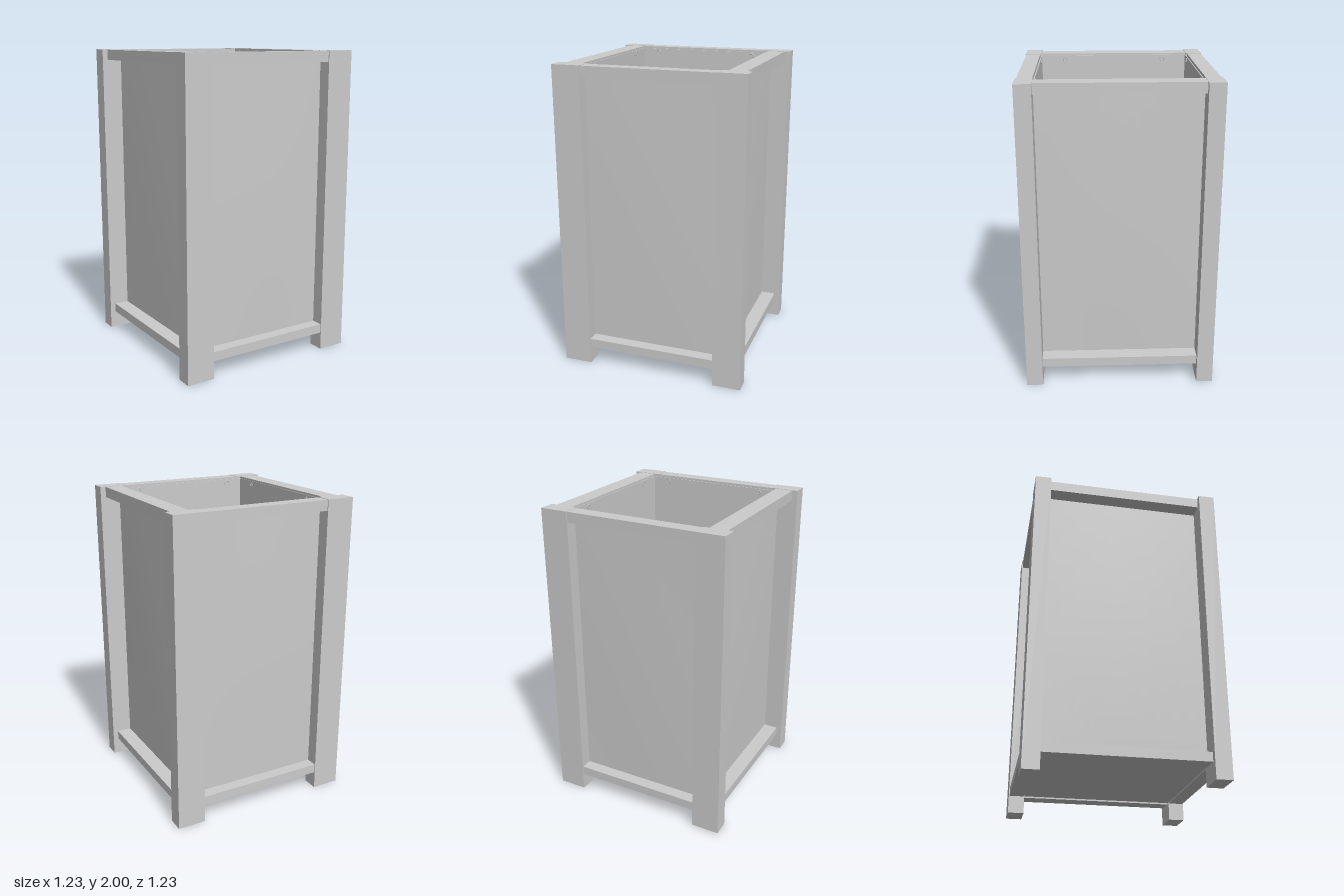
import * as THREE from 'three';

const material = new THREE.MeshStandardMaterial({ color: 0xcccccc });
const cloth = new THREE.MeshStandardMaterial({ color: 0xcccccc, side: THREE.DoubleSide });

// Box given by its min/max corners
function block(name, x0, x1, y0, y1, z0, z1) {
  const mesh = new THREE.Mesh(new THREE.BoxGeometry(x1 - x0, y1 - y0, z1 - z0), material);
  mesh.position.set((x0 + x1) / 2, (y0 + y1) / 2, (z0 + z1) / 2);
  mesh.name = name;
  return mesh;
}

// One side: thin inner lining and a softly bulging outer panel
function wall(name, width, inner, outer, angle) {
  const group = new THREE.Group();
  group.name = name;
  const y0 = 0.125, y1 = 1.985, panelTop = 1.95;
  const geo = new THREE.PlaneGeometry(width, panelTop - y0, 10, 14);
  const p = geo.attributes.position;
  for (let i = 0; i < p.count; i++) {
    const u = p.getX(i) / width, v = p.getY(i) / (panelTop - y0);
    p.setZ(i, 0.008 * Math.cos(u * Math.PI) * Math.cos(v * Math.PI));
  }
  geo.computeVertexNormals();
  const panel = new THREE.Mesh(geo, cloth);
  panel.name = 'outerPanel';
  panel.position.set(0, (y0 + panelTop) / 2, outer);
  group.add(block('lining', -width / 2, width / 2, y0, y1, inner, inner + 0.006), panel);
  group.rotation.y = angle;
  return group;
}

// Soft lumpy filling: [x, z, radius, height] mounds on a gentle dome
function softFilling(width, depth) {
  const mounds = [[-0.05, -0.18, 0.17, 0.05], [0.26, -0.05, 0.15, 0.03],
    [-0.22, 0.08, 0.14, 0.01], [0.03, 0.3, 0.16, 0.02], [0.22, 0.24, 0.07, 0.01],
    [0.47, -0.15, 0.08, -0.07]];
  const geo = new THREE.PlaneGeometry(width, depth, 44, 44).rotateX(-Math.PI / 2);
  const p = geo.attributes.position;
  for (let i = 0; i < p.count; i++) {
    const x = p.getX(i), z = p.getZ(i);
    let y = 1.15 - 0.18 * z - 0.04 * x - 0.15 * z * z;
    y -= 0.05 * Math.pow(Math.abs(2 * z / depth), 12) + 0.02 * Math.pow(Math.abs(2 * x / width), 8);
    for (const [mx, mz, r, h] of mounds) {
      y += h * Math.exp(-Math.pow(Math.hypot(x - mx, z - mz) / r, 4));
    }
    p.setY(i, y);
  }
  geo.computeVertexNormals();
  const mesh = new THREE.Mesh(geo, cloth);
  mesh.name = 'softFilling';
  return mesh;
}

// Small hook lying close to the wall, facing +z
function hook(x, z, angle) {
  const group = new THREE.Group();
  const curl = new THREE.Mesh(new THREE.TorusGeometry(0.014, 0.003, 6, 16, Math.PI * 1.6), material);
  curl.rotation.z = -Math.PI * 0.3;
  curl.position.z = 0.004;
  const stem = new THREE.Mesh(new THREE.CylinderGeometry(0.003, 0.003, 0.008, 6), material);
  stem.rotation.x = Math.PI / 2;
  stem.position.y = 0.014;
  group.add(curl, stem);
  group.position.set(x, 1.96, z);
  group.rotation.y = angle;
  group.name = 'hook';
  return group;
}

export function createModel() {
  const model = new THREE.Group();
  model.name = 'hamper';

  // Four corner posts
  for (const sx of [-1, 1]) for (const sz of [-1, 1]) {
    const post = block('cornerPost', -0.0925, 0.0925, 0, 2, -0.0525, 0.0525);
    post.position.set(sx * 0.5215, 1, sz * 0.561);
    model.add(post);
  }

  // Top and bottom rails on every side
  for (const [y0, y1] of [[0.115, 0.175], [1.93, 1.998]]) {
    for (const s of [-1, 1]) {
      const longRail = block('frontBackRail', -0.43, 0.43, y0, y1, -0.0475, 0.0475);
      longRail.position.z = s * 0.5605;
      const sideRail = block('sideRail', -0.057, 0.057, y0, y1, -0.51, 0.51);
      sideRail.position.x = s * 0.521;
      model.add(longRail, sideRail);
    }
  }

  // Open container: walls, floor and filling
  const container = new THREE.Group();
  container.name = 'container';
  container.add(
    wall('frontWall', 0.93, 0.502, 0.53, 0),
    wall('backWall', 0.93, 0.502, 0.53, Math.PI),
    wall('leftWall', 1.03, 0.459, 0.48, Math.PI / 2),
    wall('rightWall', 1.03, 0.459, 0.48, -Math.PI / 2),
    block('floor', -0.47, 0.47, 0.125, 0.135, -0.52, 0.52),
    softFilling(0.92, 1.006));
  model.add(container);

  // Two hooks high inside each wall
  for (const s of [-1, 1]) {
    model.add(
      hook(s * 0.345, -0.502, 0), hook(s * 0.345, 0.502, Math.PI),
      hook(-0.459, s * 0.34, Math.PI / 2), hook(0.459, s * 0.34, -Math.PI / 2));
  }
  return model;
}
